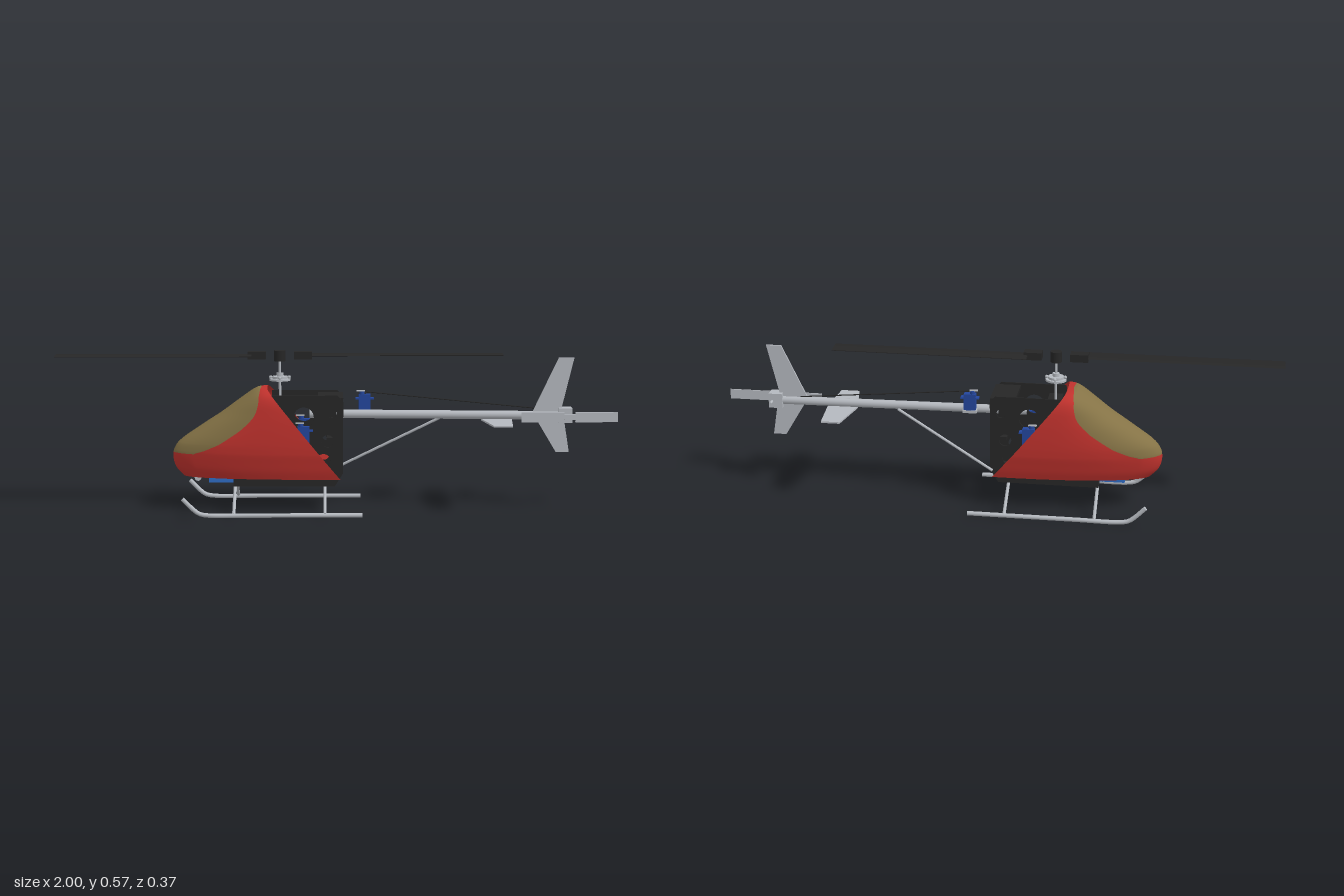
import * as THREE from 'three';

const mat = (name, color, side = THREE.FrontSide) => {
  const m = new THREE.MeshStandardMaterial({ color, side });
  m.name = name;
  return m;
};

export function createModel() {
  const model = new THREE.Group();
  const red = mat('canopy red', 0xc0322d, THREE.DoubleSide);
  const tan = mat('window tan', 0x857346, THREE.DoubleSide);
  const black = mat('frame black', 0x262626);
  const grey = mat('metal grey', 0xb4b8be);
  const navy = mat('servo blue', 0x24469c);
  const blue = mat('battery blue', 0x2f6cc4);
  const yellow = mat('connector yellow', 0xd8a520);

  const add = (name, geo, m, x = 0, y = 0, z = 0, parent = model) => {
    const mesh = new THREE.Mesh(geo, m);
    mesh.name = name;
    mesh.position.set(x, y, z);
    parent.add(mesh);
    return mesh;
  };
  const box = (name, m, w, h, d, x, y, z, parent) =>
    add(name, new THREE.BoxGeometry(w, h, d), m, x, y, z, parent);
  const cyl = (name, m, r, h, x, y, z, parent, sides = 24) =>
    add(name, new THREE.CylinderGeometry(r, r, h, sides), m, x, y, z, parent);
  const rod = (name, m, a, b, r) => {
    const p = new THREE.Vector3(...a), q = new THREE.Vector3(...b);
    const d = q.clone().sub(p);
    const mesh = cyl(name, m, r, d.length(), 0, 0, 0, model, 12);
    mesh.position.copy(p).add(q).multiplyScalar(0.5);
    mesh.quaternion.setFromUnitVectors(new THREE.Vector3(0, 1, 0), d.normalize());
  };
  const poly = (pts) => new THREE.Shape(pts.map((p) => new THREE.Vector2(...p)));
  const plate = (shape, depth) => {
    const g = new THREE.ExtrudeGeometry(shape, { depth, bevelEnabled: false, curveSegments: 16 });
    return g.translate(0, 0, -depth / 2);
  };

  // Canopy: stacked U-shaped slices, open at the rear and bottom.
  // Each row: height, nose x, half width, x where the window meets the red shell
  const rows = [
    [0.12, -0.55, 0.1, -0.47], [0.15, -0.578, 0.109, -0.5], [0.18, -0.588, 0.115, -0.51],
    [0.207, -0.588, 0.12, -0.51], [0.22, -0.584, 0.121, -0.475], [0.245, -0.568, 0.122, -0.42],
    [0.3, -0.492, 0.121, -0.34], [0.35, -0.415, 0.117, -0.293], [0.39, -0.36, 0.11, -0.28],
    [0.415, -0.325, 0.098, -0.278], [0.43, -0.303, 0.08, -0.275], [0.438, -0.288, 0.058, -0.274],
    [0.441, -0.28, 0, -0.27],
  ];
  const outline = new THREE.CatmullRomCurve3(rows.map(([y, f, w]) => new THREE.Vector3(f, y, w)));
  const border = new THREE.CatmullRomCurve3(rows.map(([y, , , b]) => new THREE.Vector3(b, y, 0)));
  const STEPS = (rows.length - 1) * 4, SIDE = 6, FRONT = 10, HALF = SIDE + FRONT;
  const pos = [], redIdx = [], tanIdx = [];
  for (let j = 0; j <= STEPS; j++) {
    const p = outline.getPoint(j / STEPS);
    const rear = 0.01 - (p.y - 0.12) * 0.81;
    const tb = (border.getPoint(j / STEPS).x - p.x) / (rear - p.x);
    for (let i = -HALF; i <= HALF; i++) {
      const k = Math.abs(i);
      const along = k <= FRONT ? tb * (k / FRONT) ** 2 : tb + (1 - tb) * (k - FRONT) / SIDE;
      const t = THREE.MathUtils.clamp(along, 0, 1);
      const z = Math.max(p.z, 0) * Math.sqrt(1 - (1 - t) ** 2.5);
      pos.push(p.x + (rear - p.x) * t, p.y, Math.sign(i) * z);
    }
  }
  const N = 2 * HALF + 1;
  for (let j = 0; j < STEPS; j++) {
    for (let i = 0; i < N - 1; i++) {
      const glass = j >= 12 && i >= SIDE && i < N - 1 - SIDE;
      const a = j * N + i;
      (glass ? tanIdx : redIdx).push(a, a + 1, a + N, a + 1, a + N + 1, a + N);
    }
  }
  const shell = new THREE.BufferGeometry();
  shell.setAttribute('position', new THREE.Float32BufferAttribute(pos, 3));
  shell.setIndex([...redIdx, ...tanIdx]);
  shell.addGroup(0, redIdx.length, 0);
  shell.addGroup(redIdx.length, tanIdx.length, 1);
  shell.computeVertexNormals();
  add('canopy', shell, [red, tan]);

  // Side frames with lightening holes
  const frame = poly([[-0.37, 0.092], [-0.01, 0.092], [0.02, 0.14], [0.02, 0.395], [0, 0.418],
    [-0.235, 0.418], [-0.25, 0.22], [-0.37, 0.14]]);
  for (const [x, y, r] of [[-0.12, 0.34, 0.036], [-0.035, 0.255, 0.022], [-0.05, 0.185, 0.024],
    [-0.17, 0.2, 0.03], [-0.02, 0.355, 0.016]]) {
    frame.holes.push(new THREE.Path().absarc(x, y, r, 0, Math.PI * 2, true));
  }
  for (const s of [1, -1]) add('sideFrame', plate(frame, 0.004), black, 0, 0, s * 0.076);

  // Cross members between the frames
  for (const [w, h, x, y, d] of [[0.09, 0.014, -0.025, 0.403, 0.15], [0.05, 0.012, -0.2, 0.38, 0.15],
    [0.04, 0.012, -0.02, 0.26, 0.15], [0.04, 0.01, -0.2, 0.245, 0.15], [0.02, 0.007, -0.15, 0.222, 0.22],
    [0.02, 0.007, -0.15, 0.211, 0.22], [0.06, 0.014, -0.04, 0.105, 0.15], [0.36, 0.004, -0.19, 0.094, 0.15],
    [0.16, 0.006, -0.41, 0.122, 0.08], [0.04, 0.08, -0.23, 0.165, 0.022], [0.05, 0.05, -0.03, 0.345, 0.06]]) {
    box('crossMember', black, w, h, d, x, y, 0);
  }

  // Drive train and electrics
  cyl('mainGear', grey, 0.07, 0.014, -0.205, 0.18, 0, model, 48);
  cyl('motor', grey, 0.031, 0.056, -0.29, 0.243, 0);
  cyl('motorCap', black, 0.03, 0.045, -0.29, 0.294, 0);
  box('battery', blue, 0.09, 0.045, 0.075, -0.415, 0.122, 0);
  box('batteryLead', blue, 0.03, 0.008, 0.02, -0.42, 0.135, 0.046);
  box('connector', yellow, 0.04, 0.016, 0.032, -0.47, 0.152, 0);
  for (const s of [1, -1]) {
    const roller = cyl('noseRoller', grey, 0.012, 0.02, -0.5, 0.115, s * 0.015);
    roller.rotation.x = Math.PI / 2;
  }

  // Servos
  const servo = (name, x, y, z) => {
    const g = new THREE.Group();
    g.name = name;
    g.position.set(x, y, z);
    model.add(g);
    box('servoBody', navy, 0.042, 0.06, 0.024, 0, 0, 0, g);
    box('servoTabs', navy, 0.066, 0.005, 0.024, 0, 0.015, 0, g);
    cyl('servoBoss', navy, 0.009, 0.012, -0.01, 0.035, 0, g);
    box('servoHorn', grey, 0.03, 0.004, 0.01, -0.014, 0.042, 0, g);
  };
  servo('rightServo', -0.12, 0.28, -0.092);
  servo('leftServo', -0.12, 0.28, 0.092);
  servo('tailServo', 0.098, 0.378, -0.032);
  box('tailServoMount', grey, 0.05, 0.01, 0.045, 0.098, 0.343, -0.024);

  // Mast, swashplate and rotor head
  const RX = -0.205;
  cyl('mast', grey, 0.0045, 0.43, RX, 0.345, 0);
  cyl('swashplateLower', grey, 0.038, 0.007, RX, 0.466, 0);
  cyl('swashplateUpper', grey, 0.028, 0.008, RX, 0.474, 0);
  cyl('swashplateHub', grey, 0.012, 0.03, RX, 0.475, 0);
  for (let i = 0; i < 4; i++) {
    const a = i * Math.PI / 2;
    add('linkBall', new THREE.SphereGeometry(0.006, 12, 8), grey,
      RX + 0.033 * Math.cos(a), 0.475, 0.033 * Math.sin(a));
  }
  cyl('rotorHub', black, 0.02, 0.038, RX, 0.551, 0);

  // Main blades, turned half a circle from each other
  const foil = poly([[-0.02, 0], [0, -0.004], [0.055, -0.001], [0.055, 0.001], [0.012, 0.005], [-0.01, 0.004]]);
  for (const turn of [0, Math.PI]) {
    const g = new THREE.Group();
    g.name = 'mainBlade';
    g.position.set(RX, 0.553, 0);
    g.rotation.y = turn;
    model.add(g);
    const blade = new THREE.ExtrudeGeometry(foil, { depth: 0.695, bevelEnabled: false });
    add('blade', blade.rotateY(-Math.PI / 2), black, -0.1, 0, 0, g);
    box('bladeGrip', black, 0.064, 0.027, 0.04, -0.082, 0, 0, g);
  }

  // Tail boom, brace and control rod
  rod('tailBoom', grey, [-0.1, 0.343, 0], [0.82, 0.335, 0], 0.0155);
  rod('boomBrace', grey, [0.01, 0.138, -0.083], [0.365, 0.325, -0.008], 0.005);
  rod('tailPushrod', black, [0.075, 0.42, -0.032], [0.72, 0.358, -0.02], 0.002);

  // Tail fins
  const upperFin = poly([[0.7, 0.35], [0.79, 0.543], [0.845, 0.543], [0.8, 0.35]]);
  const lowerFin = poly([[0.705, 0.335], [0.785, 0.202], [0.832, 0.202], [0.81, 0.335]]);
  add('upperFin', plate(upperFin, 0.007), grey);
  add('lowerFin', plate(lowerFin, 0.007), grey);
  const stabilizer = poly([[0.515, 0], [0.545, 0.162], [0.612, 0.162], [0.625, 0],
    [0.612, -0.162], [0.545, -0.162]]);
  add('stabilizer', plate(stabilizer, 0.006).rotateX(Math.PI / 2), grey, 0, 0.32, 0);

  // Tail gearbox and rotor
  box('tailGearbox', grey, 0.05, 0.054, 0.044, 0.815, 0.337, 0);
  const tailShaft = cyl('tailShaft', grey, 0.005, 0.09, 0.828, 0.334, -0.001);
  tailShaft.rotation.x = Math.PI / 2;
  box('tailHub', grey, 0.04, 0.02, 0.012, 0.828, 0.334, 0.037);
  for (const s of [1, -1]) {
    box('tailBlade', grey, 0.152, 0.036, 0.004, 0.828 + s * 0.096, 0.334, 0.037);
  }

  // Landing gear
  for (const s of [1, -1]) {
    const path = new THREE.CatmullRomCurve3([[-0.543, 0.066], [-0.505, 0.028], [-0.485, 0.014],
      [-0.45, 0.008], [-0.3, 0.008], [0.085, 0.008]].map(([x, y]) => new THREE.Vector3(x, y, s * 0.177)));
    add('skid', new THREE.TubeGeometry(path, 48, 0.008, 12), grey);
    for (const [x, y, tilt] of [[-0.543, 0.066, Math.PI / 4], [0.085, 0.008, Math.PI / 2]]) {
      const cap = cyl('skidCap', grey, 0.008, 0.004, x, y, s * 0.177, model, 12);
      cap.rotation.z = tilt;
    }
    for (const x of [-0.365, -0.045]) {
      rod('skidLeg', grey, [x, 0.086, s * 0.058], [x, 0.012, s * 0.176], 0.006);
    }
  }
  return model;
}
